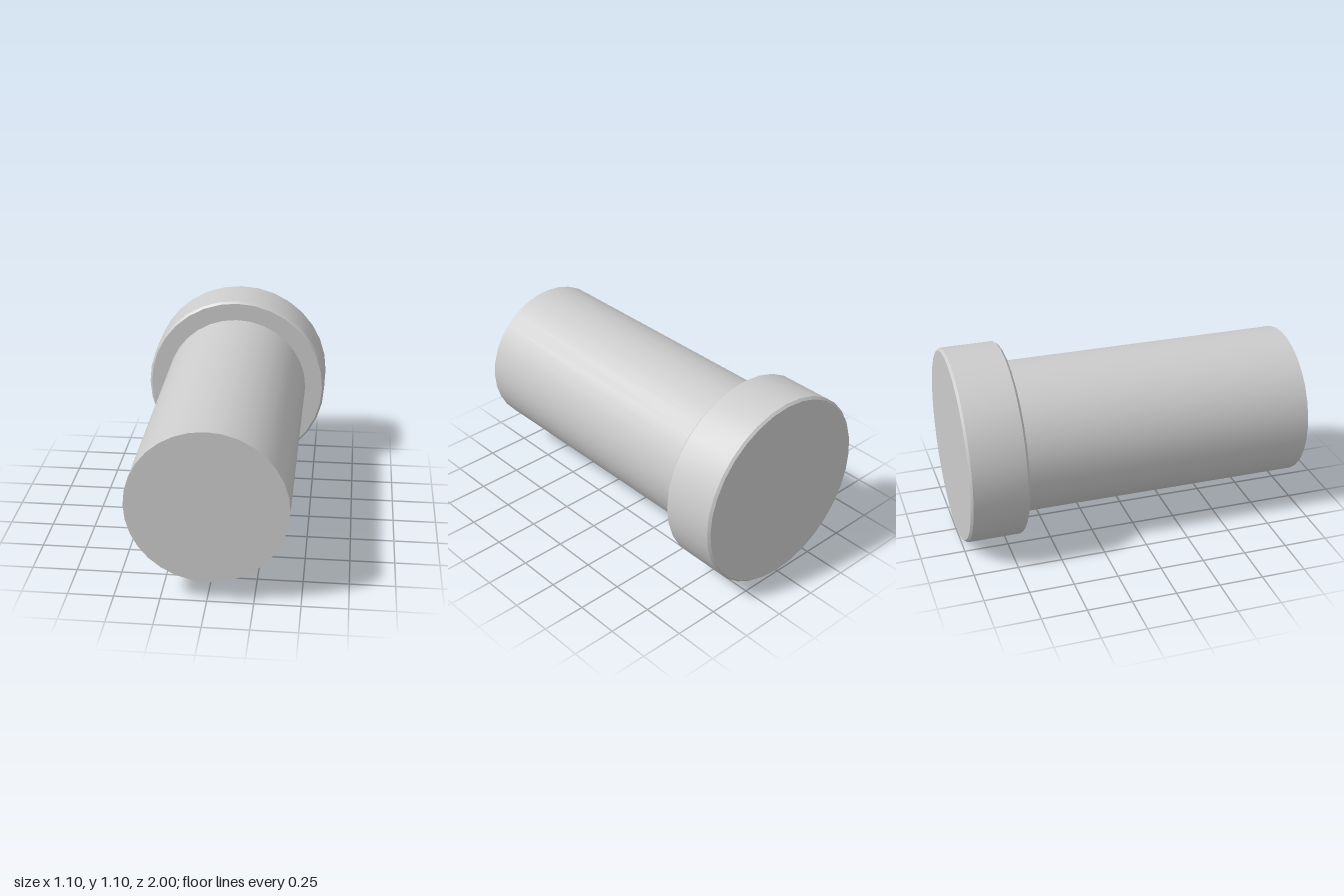
import * as THREE from 'three';
import { toCreasedNormals } from 'three/addons/utils/BufferGeometryUtils.js';

const SIDES = 32;
const HEAD_RADIUS = 0.552;
const SHANK_RADIUS = 0.433;
const BACK = -1, SHOULDER = -0.675, FRONT = 1;
const CHAMFER = 0.013;

export function createModel() {
  const group = new THREE.Group();
  group.name = 'headedPin';
  const material = new THREE.MeshStandardMaterial({ color: 0xcccccc });

  // Turned parts are made along y, then laid along z at axis height
  const addTurned = (name, geometry) => {
    geometry.rotateX(Math.PI / 2);
    const mesh = new THREE.Mesh(geometry, material);
    mesh.name = name;
    mesh.position.y = HEAD_RADIUS;
    group.add(mesh);
  };

  // Head: disc with a small chamfer on both rims
  const profile = [
    [0, BACK],
    [HEAD_RADIUS - CHAMFER, BACK],
    [HEAD_RADIUS, BACK + CHAMFER],
    [HEAD_RADIUS, SHOULDER - CHAMFER],
    [HEAD_RADIUS - CHAMFER, SHOULDER],
    [0, SHOULDER],
  ].map(([r, h]) => new THREE.Vector2(r, h));
  addTurned('head', toCreasedNormals(new THREE.LatheGeometry(profile, SIDES), Math.PI / 6));

  // Shank: plain cylinder with a flat, sharp front end
  const length = FRONT - SHOULDER;
  const shank = new THREE.CylinderGeometry(SHANK_RADIUS, SHANK_RADIUS, length, SIDES);
  shank.translate(0, (FRONT + SHOULDER) / 2, 0);
  addTurned('shank', shank);

  return group;
}
